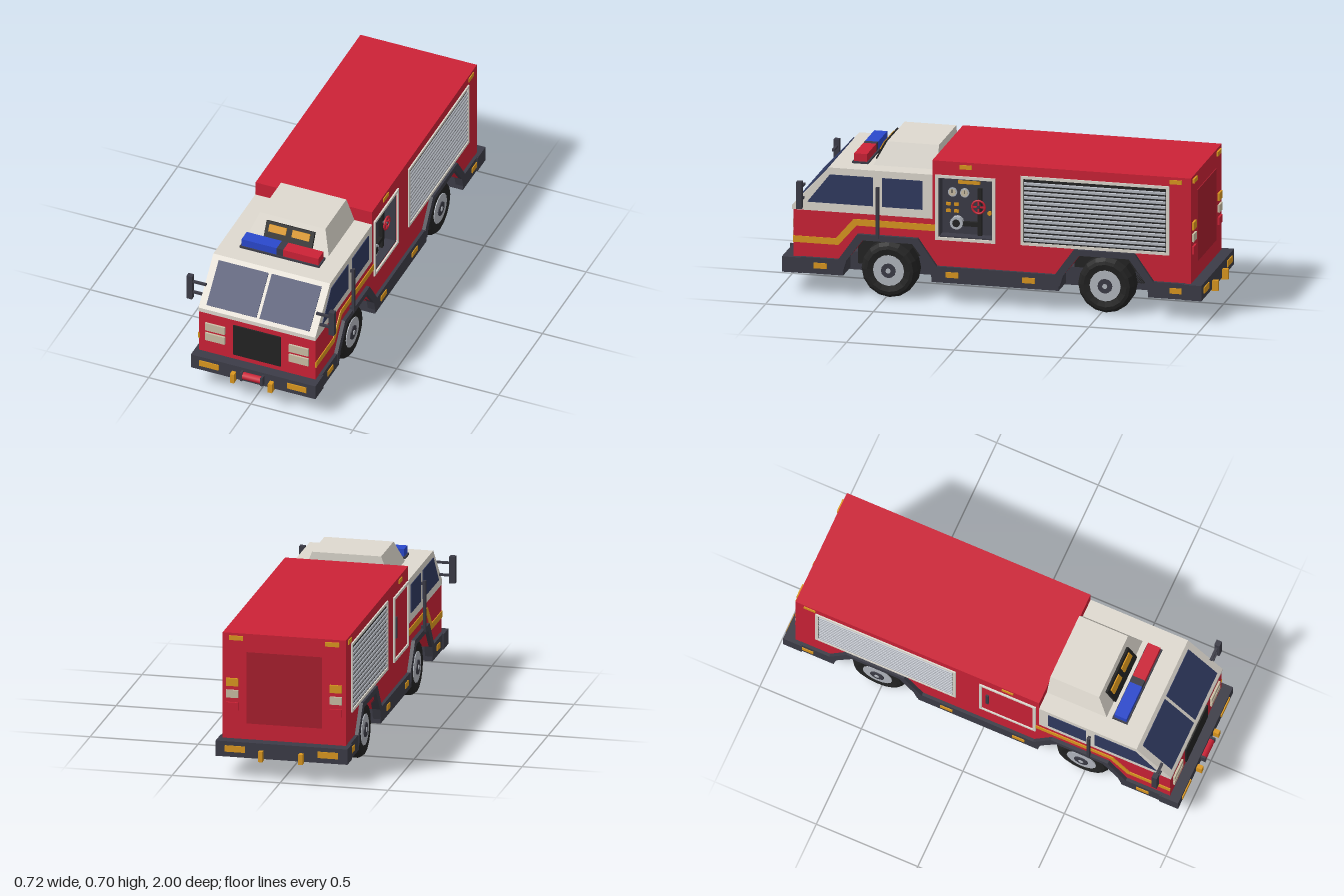
import * as THREE from 'three';

const paint = (name, color, extra = {}) => Object.assign(new THREE.MeshStandardMaterial({ color, ...extra }), { name });

export function createModel() {
  const red = paint('red', 0xcc2236), darkRed = paint('dark red', 0xa81e2e), cream = paint('cream', 0xded9cf);
  const tan = paint('lamp glass', 0xcbbfa5), navy = paint('window navy', 0x303a60), amber = paint('amber', 0xdc981f);
  const charcoal = paint('charcoal', 0x3c3c47), black = paint('black', 0x232323);
  const silver = paint('silver', 0xb4b8c0), blue = paint('blue', 0x2a48cc);
  for (const m of [black, silver]) m.flatShading = true;

  const truck = new THREE.Group();
  truck.name = 'fireTruck';
  const add = (name, geo, mat, parent = truck) => {
    const m = new THREE.Mesh(geo, mat);
    m.name = name;
    parent.add(m);
    return m;
  };
  // Box given by its limits on each axis
  const box = (name, mat, x0, x1, y0, y1, z0, z1) => {
    const m = add(name, new THREE.BoxGeometry(Math.abs(x1 - x0), Math.abs(y1 - y0), Math.abs(z1 - z0)), mat);
    m.position.set((x0 + x1) / 2, (y0 + y1) / 2, (z0 + z1) / 2);
    return m;
  };
  // Side profile of [z, y] points extruded across x
  const profile = (name, mat, pts, x0, x1, hole) => {
    const toV = p => new THREE.Vector2(p[0], p[1]);
    const shape = new THREE.Shape(pts.map(toV));
    if (hole) shape.holes.push(new THREE.Path(hole.map(toV)));
    const a = Math.min(x0, x1), b = Math.max(x0, x1);
    const geo = new THREE.ExtrudeGeometry(shape, { depth: b - a, bevelEnabled: false });
    geo.rotateY(-Math.PI / 2).translate(b, 0, 0);
    return add(name, geo, mat);
  };
  const rect = (z0, z1, y0, y1) => [[z0, y0], [z1, y0], [z1, y1], [z0, y1]];
  // Disc facing sideways
  const disc = (name, mat, r, x0, x1, y, z, n = 16) => {
    const m = add(name, new THREE.CylinderGeometry(r, r, Math.abs(x1 - x0), n), mat);
    m.rotation.z = Math.PI / 2;
    m.position.set((x0 + x1) / 2, y, z);
    return m;
  };

  const W = 0.285, axles = [0.485, -0.52];
  const notch = z => [[z - 0.19, 0.17], [z - 0.115, 0.27], [z + 0.115, 0.27], [z + 0.19, 0.17]];

  // Cab: red lower half, cream upper half
  profile('cabLower', red, [[0.28, 0.17], ...notch(axles[0]), [0.925, 0.17], [0.925, 0.39], [0.28, 0.39]], -W, W);
  profile('cabUpper', cream, [[0.28, 0.39], [0.93, 0.39], [0.93, 0.41], [0.76, 0.597], [0.28, 0.597]], -W - 0.001, W + 0.001);

  // Rear body, with a pump bay cut in the left side
  const bodyPts = [[-0.92, 0.17], ...notch(axles[1]), [0.28, 0.17], [0.28, 0.665], [-0.92, 0.665]];
  const bay = rect(0.0, 0.252, 0.308, 0.587);
  profile('bodyCore', red, bodyPts, -W, 0.225);
  profile('bodyLeftSkin', red, bodyPts, 0.225, W, bay);

  // Windscreen panes and side windows
  const screenTilt = Math.atan2(-0.17, 0.187);
  for (const s of [-1, 1]) {
    const pane = box('windscreen', navy, s * 0.008, s * 0.252, 0.3975, 0.6075, 0.842, 0.85);
    pane.rotation.x = screenTilt;
    const x0 = s * (W - 0.003), x1 = s * (W + 0.004);
    profile('frontSideWindow', navy, [[0.555, 0.43], [0.86, 0.43], [0.755, 0.565], [0.555, 0.565]], x0, x1);
    profile('rearSideWindow', navy, rect(0.325, 0.512, 0.43, 0.565), x0, x1);
    // Stepped side stripe
    profile('sideStripe', amber, [[0.926, 0.237], [0.926, 0.267], [0.728, 0.267], [0.645, 0.364], [0.265, 0.364],
      [0.265, 0.334], [0.631, 0.334], [0.715, 0.237]], x0, x1);
  }

  // Front face
  box('grille', black, -0.117, 0.117, 0.197, 0.36, 0.92, 0.932);
  for (const s of [-1, 1]) for (const y of [0.24, 0.295])
    box('headlight', tan, s * 0.157, s * 0.253, y, y + 0.04, 0.92, 0.934);

  // Roof pod with lamp panel
  const podGeo = new THREE.BoxGeometry(0.4, 0.105, 0.295);
  const p = podGeo.attributes.position;
  for (let i = 0; i < p.count; i++) if (p.getY(i) > 0) {
    p.setX(i, p.getX(i) * 0.8);
    if (p.getZ(i) > 0) p.setZ(i, p.getZ(i) - 0.055);
  }
  podGeo.computeVertexNormals();
  add('roofPod', podGeo, cream).position.set(0, 0.6485, 0.4275);
  const podPanel = new THREE.Group();
  podPanel.name = 'podLampPanel';
  podPanel.position.set(0, 0.64, 0.555);
  podPanel.rotation.x = Math.atan2(-0.055, 0.105);
  truck.add(podPanel);
  add('lampPanel', new THREE.BoxGeometry(0.236, 0.09, 0.02), black, podPanel);
  for (const s of [-1, 1])
    add('podLamp', new THREE.BoxGeometry(0.085, 0.034, 0.008), amber, podPanel).position.set(s * 0.057, 0.015, 0.012);

  // Light bar
  box('lightBarBase', charcoal, -0.195, 0.195, 0.596, 0.606, 0.6, 0.674);
  box('lightBarBlue', blue, -0.188, -0.016, 0.606, 0.642, 0.607, 0.667);
  box('lightBarCentre', charcoal, -0.016, 0.016, 0.606, 0.642, 0.607, 0.667);
  box('lightBarRed', red, 0.016, 0.188, 0.606, 0.642, 0.607, 0.667);

  // Chassis, bumpers and hooks
  box('chassis', charcoal, -0.165, 0.165, 0.09, 0.175, -0.88, 0.88);
  for (const e of [-1, 1]) {
    box('bumper', charcoal, -0.305, 0.305, 0.098, 0.17, e * 0.88, e * 0.973);
    for (const s of [-1, 1]) {
      box('towHook', amber, s * 0.083, s * 0.103, 0.09, 0.138, e * 0.965, e * 1.0);
      box('bumperLamp', amber, s * 0.168, s * 0.262, 0.122, 0.151, e * 0.97, e * 0.978);
    }
  }
  // Winch
  disc('winchDrum', red, 0.018, -0.045, 0.045, 0.133, 0.98, 10);
  for (const s of [-1, 1]) box('winchPlate', charcoal, s * 0.045, s * 0.055, 0.112, 0.157, 0.965, 0.997);

  // Wheels, arches and skirts
  const tyre = new THREE.LatheGeometry([[0, -0.05], [0.075, -0.05], [0.1, -0.055], [0.115, -0.052], [0.13, -0.032],
    [0.13, 0.032], [0.115, 0.052], [0.1, 0.055], [0.075, 0.05], [0, 0.05]].map(q => new THREE.Vector2(...q)), 16);
  tyre.rotateZ(-Math.PI / 2);
  for (const z of axles) {
    box('wheelWellLiner', black, -0.165, 0.165, 0.12, 0.275, z - 0.17, z + 0.17);
    for (const s of [-1, 1]) {
      add('tyre', tyre, black).position.set(s * 0.225, 0.13, z);
      disc('wheelRim', silver, 0.072, s * 0.26, s * 0.279, 0.13, z);
      disc('wheelHub', charcoal, 0.034, s * 0.27, s * 0.284, 0.13, z, 12);
      disc('hubCap', silver, 0.012, s * 0.28, s * 0.287, 0.13, z, 8);
      profile('wheelArch', charcoal, [[z - 0.23, 0.12], [z - 0.23, 0.17], [z - 0.14, 0.297], [z + 0.14, 0.297],
        [z + 0.23, 0.17], [z + 0.23, 0.12], [z + 0.205, 0.12], [z + 0.19, 0.17], [z + 0.115, 0.27],
        [z - 0.115, 0.27], [z - 0.19, 0.17], [z - 0.205, 0.12]], s * 0.265, s * 0.302);
    }
  }
  for (const s of [-1, 1]) {
    for (const [z0, z1] of [[0.69, 0.89], [-0.31, 0.28], [-0.89, -0.725]])
      box('sideSkirt', charcoal, s * 0.16, s * 0.3, 0.098, 0.172, z0, z1);
    for (const z of [0.796, 0.185, -0.17, -0.855])
      box('skirtMarker', amber, s * 0.296, s * 0.304, 0.124, 0.15, z - 0.03, z + 0.03);
    for (const z of [0.125, -0.85])
      box('bodyMarker', amber, s * 0.28, s * 0.289, 0.633, 0.653, z - 0.028, z + 0.028);

    // Mirrors and grab poles
    box('mirror', charcoal, s * 0.334, s * 0.361, 0.415, 0.541, 0.868, 0.893);
    for (const y of [0.45, 0.508]) box('mirrorArm', charcoal, s * 0.27, s * 0.34, y - 0.005, y + 0.005, 0.873, 0.885);
    box('grabPole', charcoal, s * 0.296, s * 0.308, 0.285, 0.525, 0.523, 0.537);
    for (const y of [0.3, 0.505]) box('poleBracket', charcoal, s * 0.28, s * 0.3, y, y + 0.012, 0.524, 0.536);

    // Roller shutter
    profile('shutterFrame', cream, rect(-0.82, -0.13, 0.298, 0.622), s * 0.28, s * 0.292, rect(-0.807, -0.143, 0.311, 0.609));
    box('shutterBack', black, s * 0.28, s * 0.2862, 0.311, 0.609, -0.807, -0.143);
    const slats = 13, pitch = 0.284 / slats;
    for (let i = 0; i < slats; i++) {
      const y = 0.313 + i * pitch;
      const x = s * 0.286, o = s * 0.291;
      const slat = box('shutterSlat', silver, x - s * 0.004, o, y + 0.001, y + pitch - 0.001, -0.803, -0.147);
      const q = slat.geometry.attributes.position;
      for (let k = 0; k < q.count; k++) if (q.getX(k) * s > 0) q.setY(k, q.getY(k) * 0.5);
      slat.geometry.computeVertexNormals();
    }

    // Side bay frame
    profile('bayFrame', cream, rect(-0.013, 0.265, 0.295, 0.6), s * 0.28, s * 0.293, bay);

    // Rear lamps
    box('rearTopMarker', amber, s * 0.19, s * 0.255, 0.633, 0.653, -0.915, -0.928);
    [[amber, 0.435], [tan, 0.38], [red, 0.322]].forEach(([m, y]) =>
      box('rearLamp', m, s * 0.212, s * 0.268, y - 0.018, y + 0.018, -0.915, -0.929));
  }
  box('rearDoor', darkRed, -0.175, 0.175, 0.245, 0.58, -0.915, -0.924);

  // Door and handle on the right side
  box('sideDoor', red, -0.28, -0.287, 0.308, 0.587, 0, 0.252);
  box('sideDoorHandle', charcoal, -0.285, -0.295, 0.4, 0.5, 0.02, 0.034);

  // Pump bay
  profile('bayLining', charcoal, bay, 0.226, 0.284, rect(0.006, 0.246, 0.314, 0.581));
  box('pumpPanel', charcoal, 0.222, 0.232, 0.31, 0.585, 0.002, 0.25);
  box('bayLamp', amber, 0.23, 0.25, 0.553, 0.572, 0.07, 0.17);
  for (const z of [0.198, 0.142]) {
    disc('gaugeRim', silver, 0.021, 0.23, 0.24, 0.508, z);
    disc('gaugeFace', tan, 0.016, 0.238, 0.243, 0.508, z);
    box('gaugeNeedle', black, 0.242, 0.2445, 0.505, 0.521, z - 0.002, z + 0.002);
  }
  for (const z of [0.217, 0.18]) for (const y of [0.452, 0.42])
    box('pumpSwitch', amber, 0.23, 0.24, y - 0.007, y + 0.007, z - 0.01, z + 0.01);
  disc('pumpButton', amber, 0.01, 0.23, 0.243, 0.42, 0.026, 10);
  box('verticalPipe', black, 0.23, 0.25, 0.315, 0.535, 0.06, 0.08);
  box('crossPipe', black, 0.23, 0.25, 0.355, 0.375, 0.07, 0.17);
  disc('outletRim', silver, 0.03, 0.23, 0.262, 0.37, 0.175, 12);
  disc('outletMouth', black, 0.018, 0.255, 0.265, 0.37, 0.175, 12);
  const valve = add('valveWheel', new THREE.TorusGeometry(0.03, 0.005, 6, 16), red);
  valve.rotation.y = Math.PI / 2;
  valve.position.set(0.268, 0.455, 0.07);
  for (const a of [0, Math.PI / 2])
    add('valveSpoke', new THREE.BoxGeometry(0.058, 0.007, 0.006), red, valve).rotation.z = a;
  disc('valveStem', charcoal, 0.008, 0.23, 0.274, 0.455, 0.07, 8);

  return truck;
}
